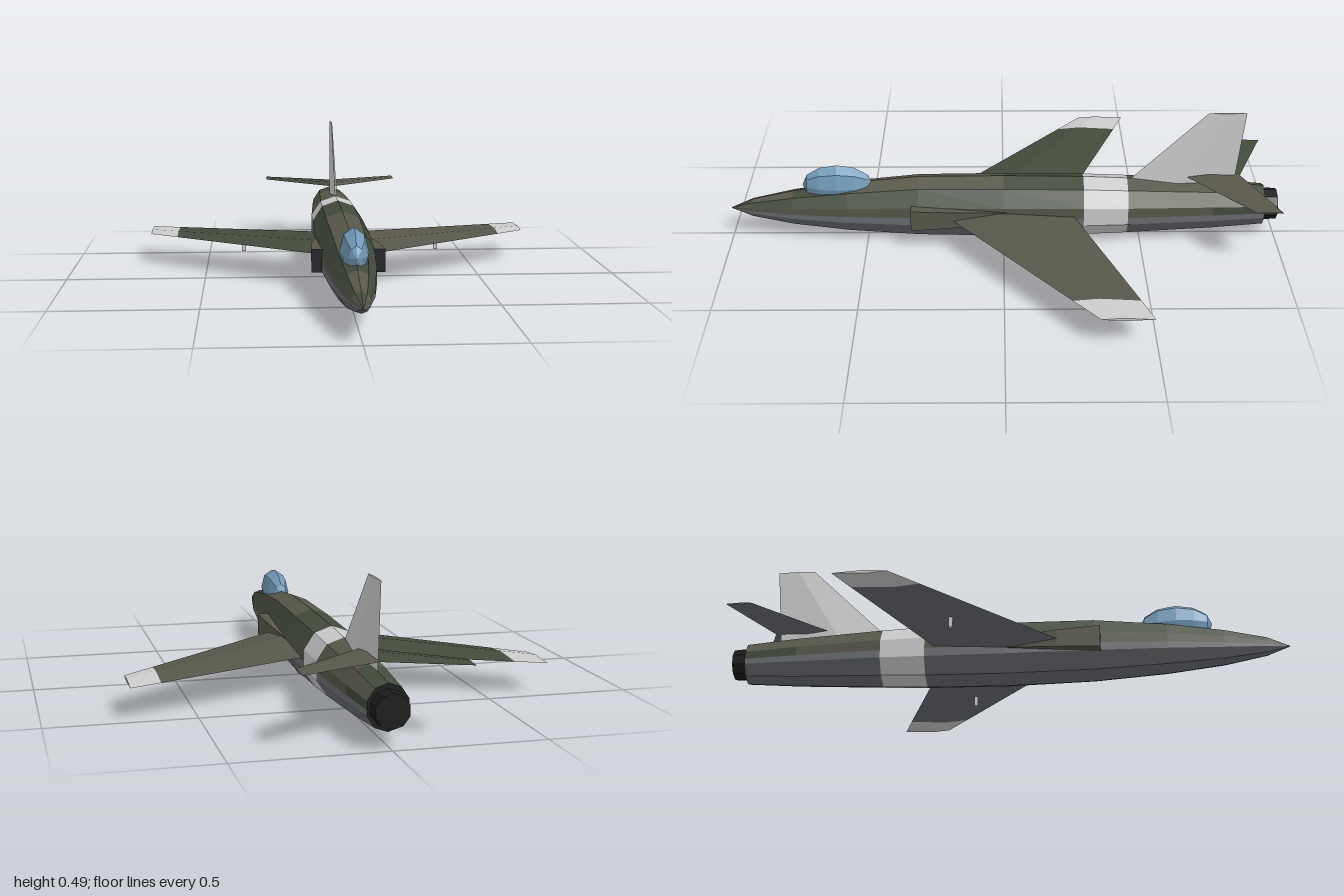
import * as THREE from 'three';

const COLORS = {
  green: 0x434b3c, brown: 0x58574a, belly: 0x686b70, light: 0xcccccc,
  dark: 0x25252b, black: 0x1b1b1b, glass: 0x729ab8,
};
const materials = {};
function material(name) {
  materials[name] ??= new THREE.MeshStandardMaterial({ color: COLORS[name], flatShading: true });
  return materials[name];
}
const V = (x, y, z) => new THREE.Vector3(x, y, z);
const average = (pts) => pts.reduce((s, p) => s.add(p), V(0, 0, 0)).divideScalar(pts.length);

// Joins convex rings into a faceted skin; paint(segment, side) gives each facet's colour
// (side -1 is the first cap, -2 the last cap).
function loft(name, rings, paint) {
  const buckets = {};
  const tri = (a, b, c, inside, color) => {
    const n = b.clone().sub(a).cross(c.clone().sub(a));
    if (n.length() < 1e-9) return;
    const outward = n.dot(average([a, b, c]).sub(inside)) > 0;
    const out = (buckets[color] ??= []);
    for (const p of outward ? [a, b, c] : [a, c, b]) out.push(p.x, p.y, p.z);
  };
  const last = rings.length - 2;
  for (let i = 0; i <= last; i++) {
    const A = rings[i], B = rings[i + 1], n = A.length;
    const inside = average([...A, ...B]);
    for (let j = 0; j < n; j++) {
      const k = (j + 1) % n, color = paint(i, j);
      tri(A[j], A[k], B[k], inside, color);
      tri(A[j], B[k], B[j], inside, color);
    }
    for (let j = 1; j < n - 1; j++) {
      if (i === 0) tri(A[0], A[j], A[j + 1], inside, paint(i, -1));
      if (i === last) tri(B[0], B[j], B[j + 1], inside, paint(i, -2));
    }
  }
  const group = new THREE.Group();
  group.name = name;
  for (const [color, data] of Object.entries(buckets)) {
    const g = new THREE.BufferGeometry();
    g.setAttribute('position', new THREE.Float32BufferAttribute(data, 3));
    g.computeVertexNormals();
    const mesh = new THREE.Mesh(g, material(color));
    mesh.name = `${name} ${color}`;
    group.add(mesh);
  }
  return group;
}

// Fuselage: ten-sided section with the side panels split at the camouflage line
function fuselage() {
  const half = [[0, 1], [0.59, 0.81], [0.95, 0.31], [0.95, -0.05], [0.95, -0.31], [0.59, -0.81], [0, -1]];
  const section = [...half, ...half.slice(1, -1).reverse().map(([x, y]) => [-x, y])];
  // z, half width, bottom, top
  const stations = [
    [1, 0.001, 0.109, 0.111], [0.92, 0.031, 0.078, 0.146], [0.77, 0.058, 0.048, 0.18],
    [0.57, 0.081, 0.024, 0.212], [0.31, 0.096, 0.005, 0.239], [0, 0.104, 0, 0.241],
    [-0.29, 0.103, 0.006, 0.237], [-0.45, 0.1, 0.014, 0.23], [-0.76, 0.083, 0.03, 0.213],
    [-0.95, 0.07, 0.045, 0.197],
  ];
  const rings = stations.map(([z, w, lo, hi]) =>
    section.map(([x, y]) => V(x * w, (lo + hi) / 2 + (y * (hi - lo)) / 2, z)));
  const brownRows = ['12', '02', '2', '02', '02', '2', '', '012', '1'];
  return loft('fuselage', rings, (i, j) => {
    if (j < 0) return 'black';
    if (i === 6) return 'light';
    const row = j < 6 ? j : 11 - j;
    if (row > 2) return 'belly';
    return brownRows[i].includes(String(row)) ? 'brown' : 'green';
  });
}

// Diamond aerofoil section: leading edge, top ridge, trailing edge, bottom ridge
function aerofoil(x, y, lead, trail, thick) {
  const ridge = lead + (trail - lead) * 0.38;
  return [V(x, y, lead), V(x, y + thick / 2, ridge), V(x, y, trail), V(x, y - thick / 2, ridge)];
}

function wing(side, color) {
  const rings = [
    aerofoil(side * 0.04, 0.124, 0.25, -0.235, 0.038),
    aerofoil(side * 0.612, 0.112, -0.225, -0.451, 0.016),
    aerofoil(side * 0.717, 0.11, -0.312, -0.49, 0.012),
  ];
  return loft(side > 0 ? 'leftWing' : 'rightWing', rings, (i, j) =>
    i === 1 ? 'light' : j === 0 || j === 1 ? color : 'belly');
}

function tailplane(side, color) {
  const rings = [
    aerofoil(0, 0.24, -0.655, -0.86, 0.014),
    aerofoil(side * 0.27, 0.24, -0.88, -0.972, 0.006),
  ];
  return loft(side > 0 ? 'leftTailplane' : 'rightTailplane', rings, (i, j) =>
    j === 0 || j === 1 ? color : 'belly');
}

// Side intake: a box tapering back into the fuselage, with a dark mouth
function intake(side) {
  const ring = (z, out, h) => [[0.07, -h], [out, -h], [out, h], [0.07, h]]
    .map(([x, y]) => V(side * x, 0.124 + y, z));
  const rings = [ring(0.335, 0.127, 0.04), ring(0.18, 0.121, 0.032), ring(-0.05, 0.097, 0.016)];
  return loft(side > 0 ? 'leftIntake' : 'rightIntake', rings, (i, j) => (j === -1 ? 'dark' : 'brown'));
}

function fin() {
  const ring = (y, lead, trail, t) => {
    const mid = lead + (trail - lead) * 0.45;
    return [V(0, y, lead), V(t, y, mid), V(0, y, trail), V(-t, y, mid)];
  };
  return loft('tailFin', [ring(0.19, -0.425, -0.838, 0.016), ring(0.492, -0.73, -0.866, 0.005)], () => 'light');
}

export function createModel() {
  const model = new THREE.Group();
  model.name = 'jetAircraft';
  model.add(fuselage(), fin());

  for (const side of [1, -1]) {
    const color = side > 0 ? 'brown' : 'green';
    model.add(wing(side, color), tailplane(side, color), intake(side));
    // Small probe under the wing
    const probe = new THREE.Mesh(new THREE.BoxGeometry(0.014, 0.045, 0.014), material('light'));
    probe.name = 'underwingProbe';
    probe.position.set(side * 0.36, 0.092, -0.158);
    model.add(probe);
  }

  // Canopy: low faceted dome with pointed ends
  const dome = new THREE.SphereGeometry(1, 8, 6);
  dome.rotateX(Math.PI / 2);
  dome.scale(0.048, 0.079, 0.128);
  const canopy = new THREE.Mesh(dome, material('glass'));
  canopy.name = 'canopy';
  canopy.position.set(0, 0.207, 0.605);
  model.add(canopy);

  // Exhaust nozzle
  const pipe = new THREE.CylinderGeometry(0.06, 0.056, 0.06, 10);
  pipe.rotateX(Math.PI / 2);
  const nozzle = new THREE.Mesh(pipe, material('black'));
  nozzle.name = 'exhaustNozzle';
  nozzle.position.set(0, 0.121, -0.97);
  model.add(nozzle);

  return model;
}
